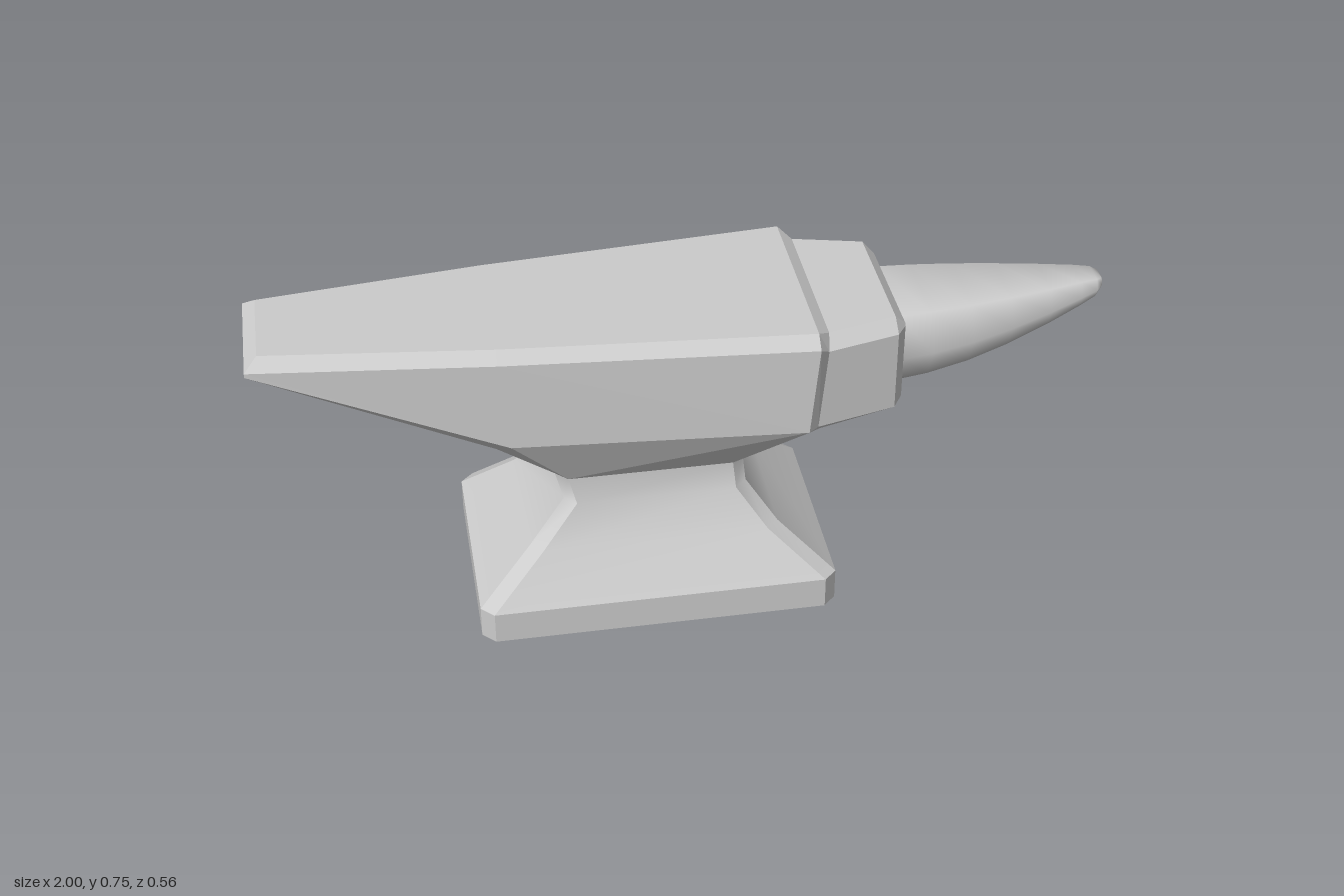
import * as THREE from 'three';
import { mergeGeometries } from 'three/addons/utils/BufferGeometryUtils.js';

const flatMat = new THREE.MeshStandardMaterial({ color: 0xcccccc, flatShading: true, side: THREE.DoubleSide });
const smoothMat = new THREE.MeshStandardMaterial({ color: 0xcccccc, side: THREE.DoubleSide });

// Surface over a grid of points: rows are rings, optionally closed round each ring
function grid(rows, closed = false) {
  const n = rows[0].length;
  const index = [];
  for (let i = 0; i < rows.length - 1; i++) {
    for (let j = 0; j < (closed ? n : n - 1); j++) {
      const k = (j + 1) % n;
      const a = i * n + j, b = i * n + k, c = (i + 1) * n + k, d = (i + 1) * n + j;
      index.push(a, b, c, a, c, d);
    }
  }
  const geo = new THREE.BufferGeometry();
  geo.setAttribute('position', new THREE.Float32BufferAttribute(rows.flat(2), 3));
  geo.setIndex(index);
  geo.computeVertexNormals();
  return geo;
}

// Loft that is smooth along its length but sharp between its side columns
function columnLoft(rings) {
  return mergeGeometries(rings[0].map((_, j) =>
    grid(rings.map(r => [r[j], r[(j + 1) % r.length]]))));
}

// Horizontal rectangle with chamfered corners
function chamferRing(y, x0, x1, z, c) {
  return [[x0 + c, z], [x1 - c, z], [x1, z - c], [x1, c - z],
    [x1 - c, -z], [x0 + c, -z], [x0, c - z], [x0, z - c]].map(([x, w]) => [x, y, w]);
}

// Octagonal body section from four (x, y, z) points: top, rim, low, bottom
function bodyRing(half) {
  const mirror = half.map(([x, y, z]) => [x, y, -z]);
  return [mirror[0], ...half, ...mirror.slice(1).reverse()];
}

export function createModel() {
  const group = new THREE.Group();
  group.name = 'anvil';
  const add = (name, geo, mat) => {
    const mesh = new THREE.Mesh(geo, mat);
    mesh.name = name;
    group.add(mesh);
  };

  // Foot and waist, hollow underneath
  const foot = chamferRing(0.08, -0.525, 0.325, 0.28, 0.03);
  const neck = chamferRing(0.355, -0.325, 0.12, 0.147, 0.028);
  add('foot', columnLoft([chamferRing(0, -0.525, 0.325, 0.28, 0.03), foot]), flatMat);
  add('waist', columnLoft([
    foot,
    chamferRing(0.19, -0.397, 0.197, 0.2, 0.029),
    chamferRing(0.285, -0.307, 0.127, 0.152, 0.028),
    neck,
  ]), smoothMat);

  // Body sections from the heel to the step block
  const sections = [
    [[-0.97, 0.755, 0.115], [-1, 0.73, 0.145], [-1, 0.72, 0.145], [-1, 0.703, 0.115]],
    [[-0.45, 0.755, 0.178], [-0.45, 0.73, 0.208], [-0.43, 0.505, 0.208], [-0.46, 0.48, 0.172]],
    [[0.265, 0.755, 0.235], [0.265, 0.728, 0.265], [0.245, 0.507, 0.265], [0.26, 0.48, 0.225]],
    [[0.295, 0.735, 0.205], [0.29, 0.705, 0.237], [0.27, 0.505, 0.243], [0.28, 0.48, 0.215]],
    [[0.458, 0.735, 0.165], [0.46, 0.705, 0.195], [0.46, 0.505, 0.195], [0.455, 0.48, 0.165]],
    [[0.485, 0.707, 0.152], [0.485, 0.702, 0.157], [0.485, 0.508, 0.157], [0.485, 0.503, 0.152]],
  ];
  const rings = sections.map(bodyRing);
  const faces = [];
  for (let i = 0; i < rings.length - 1; i++) {
    for (let j = 0; j < 8; j++) {
      if (i === 1 && j >= 3 && j <= 5) continue; // open where the shoulder joins
      const k = (j + 1) % 8;
      faces.push(grid([[rings[i][j], rings[i][k]], [rings[i + 1][j], rings[i + 1][k]]]));
    }
  }
  // End faces, each a bevel, a flat and a bevel
  const first = rings[0], last = rings[rings.length - 1];
  for (const [a, b, c, d] of [[0, 1, 2, 7], [7, 2, 3, 6], [6, 3, 4, 5]]) {
    faces.push(grid([[first[a], first[b]], [first[d], first[c]]]));
    faces.push(grid([[last[b], last[a]], [last[c], last[d]]]));
  }
  add('body', mergeGeometries(faces), flatMat);

  // Shoulder flaring from the neck to the underside of the body
  const [, , heelLow, heelBot] = sections[1];
  const [, , faceLow, faceBot] = sections[2];
  const flip = ([x, y, z]) => [x, y, -z];
  add('shoulder', columnLoft([neck, [heelLow, faceLow, faceBot, flip(faceBot),
    flip(faceLow), flip(heelLow), flip(heelBot), heelBot]]), flatMat);

  // Horn: flat-topped section tapering to a rounded tip; stations are x, half width, bottom
  const outline = [[-0.72, 0], [0.72, 0], [1, 0.48], [0.72, 0.93], [0, 1], [-0.72, 0.93], [-1, 0.48]];
  const stations = [[0.48, 0.153, 0.507], [0.56, 0.146, 0.515], [0.66, 0.13, 0.533], [0.76, 0.107, 0.56],
    [0.86, 0.08, 0.595], [0.94, 0.055, 0.627], [0.98, 0.042, 0.646], [0.995, 0.027, 0.662], [1, 0.003, 0.68]];
  add('horn', grid(stations.map(([x, w, bottom], i) => {
    const top = [0.697, 0.695, 0.691, 0.684][Math.max(0, i - 5)];
    return outline.map(([z, d]) => [x, top - d * (top - bottom), z * w]);
  }), true), smoothMat);

  return group;
}
